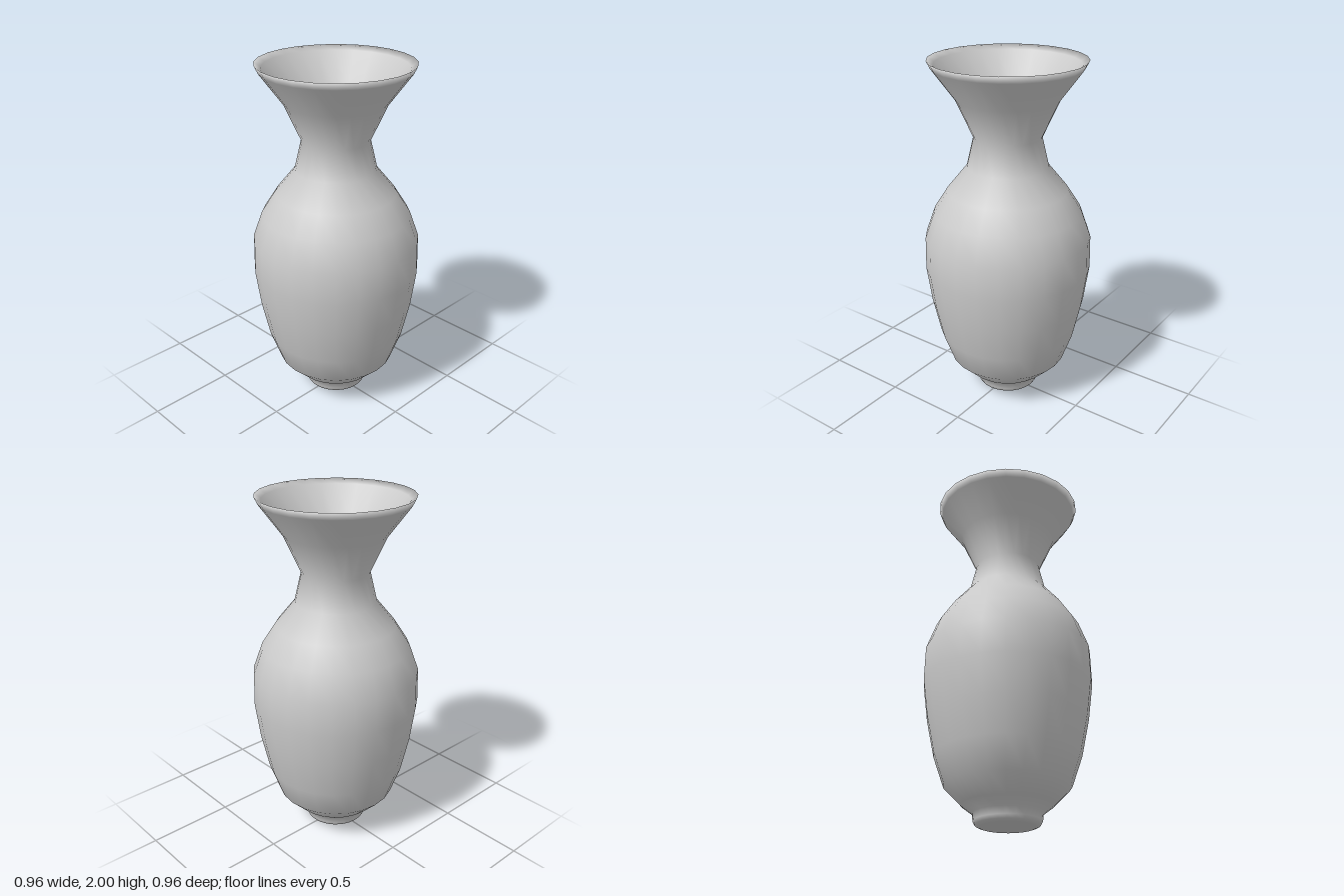
import * as THREE from 'three';

export function createModel() {
  const group = new THREE.Group();
  group.name = 'vase';
  const material = new THREE.MeshStandardMaterial({ color: 0xcccccc });

  // Closed profile [radius, height]: up the outside, over the lip, down the funnel
  const profile = [
    // underside and foot
    [0, 0], [0.15, 0.01], [0.175, 0.02], [0.185, 0.04], [0.19, 0.08],
    // belly
    [0.25, 0.125], [0.345, 0.22], [0.405, 0.39], [0.45, 0.6],
    [0.478, 0.81], [0.474, 1.0], [0.42, 1.15], [0.34, 1.275],
    // shoulder, neck and flared mouth
    [0.23, 1.41], [0.19, 1.58], [0.285, 1.79], [0.41, 1.96], [0.43, 2.0],
    // lip and inside
    [0.395, 1.975], [0.265, 1.79], [0.15, 1.57], [0.06, 1.38], [0, 1.36],
  ].map(([r, y]) => new THREE.Vector2(r, y));

  const body = new THREE.Mesh(new THREE.LatheGeometry(profile, 24), material);
  body.name = 'vaseBody';
  group.add(body);
  return group;
}
